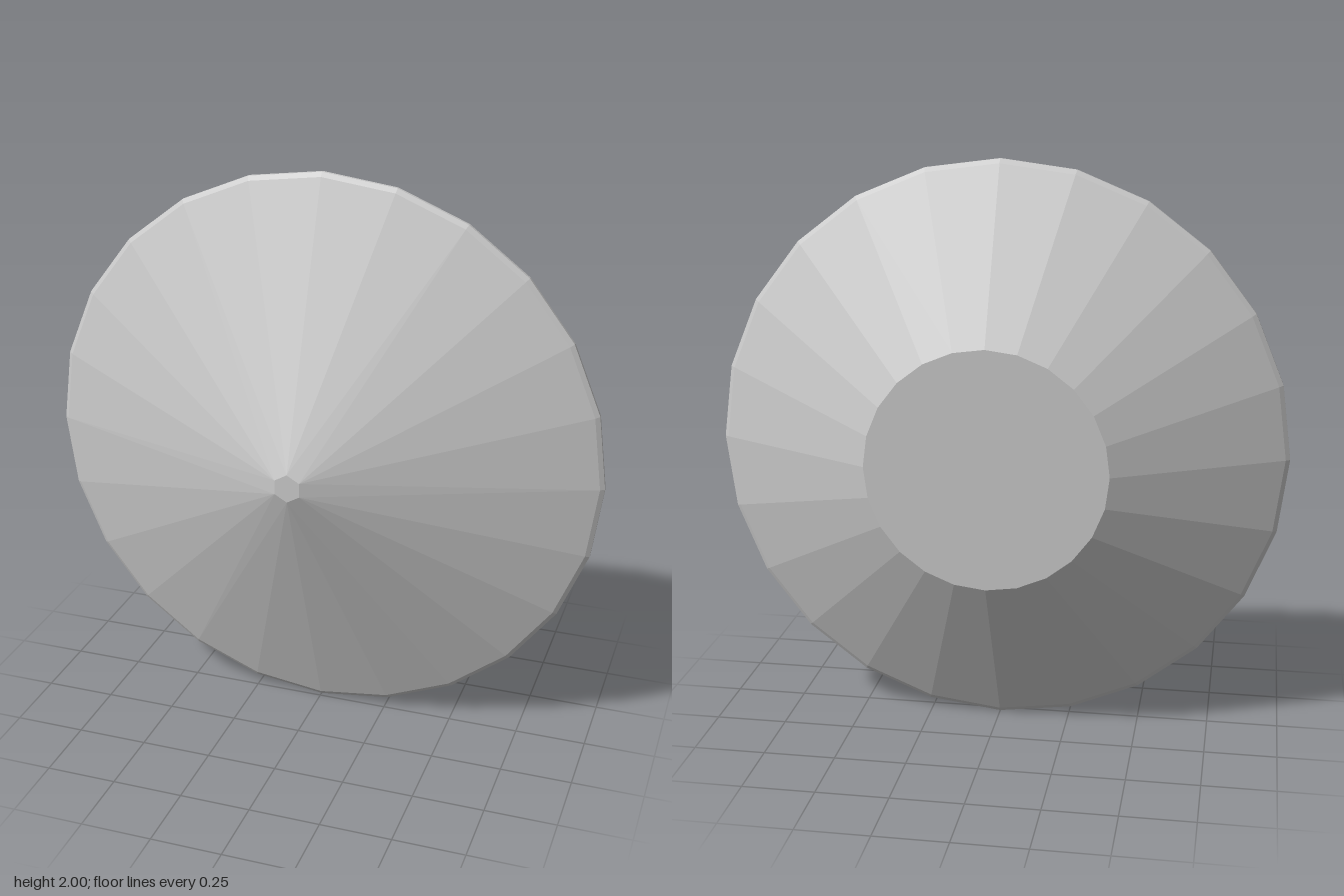
import * as THREE from 'three';

const SIDES = 24;
const TIP_SIDES = 6;
const TIP_RADIUS = 0.05;

export function createModel() {
  const group = new THREE.Group();
  group.name = 'disc';

  // Profile from the flat back to the blunt front tip: radius, depth
  const profile = [
    [0, -0.345], [0.415, -0.345], [0.985, -0.04], [1, -0.028],
    [1, -0.016], [0.985, -0.005], [TIP_RADIUS, 0.35], [0, 0.35],
  ].map(([r, z]) => new THREE.Vector2(r, z));
  const geometry = new THREE.LatheGeometry(profile, SIDES);

  // Gather the tip ring into a small hexagon, slightly above the centre
  const pos = geometry.attributes.position;
  const step = (Math.PI * 2) / TIP_SIDES;
  for (let i = 0; i < pos.count; i++) {
    if (pos.getY(i) < 0.3) continue;
    const x = pos.getX(i), z = pos.getZ(i);
    const r = Math.hypot(x, z);
    const a = Math.round(Math.atan2(x, z) / step + 0.01) * step;
    pos.setXYZ(i, Math.sin(a) * r, pos.getY(i), Math.cos(a) * r - 0.015);
  }
  geometry.rotateX(Math.PI / 2);

  // Double cone body, tip facing forward
  const body = new THREE.Mesh(
    geometry,
    new THREE.MeshStandardMaterial({ color: 0xcccccc, flatShading: true }),
  );
  body.name = 'conicalBody';
  body.position.y = 1;
  group.add(body);
  return group;
}
